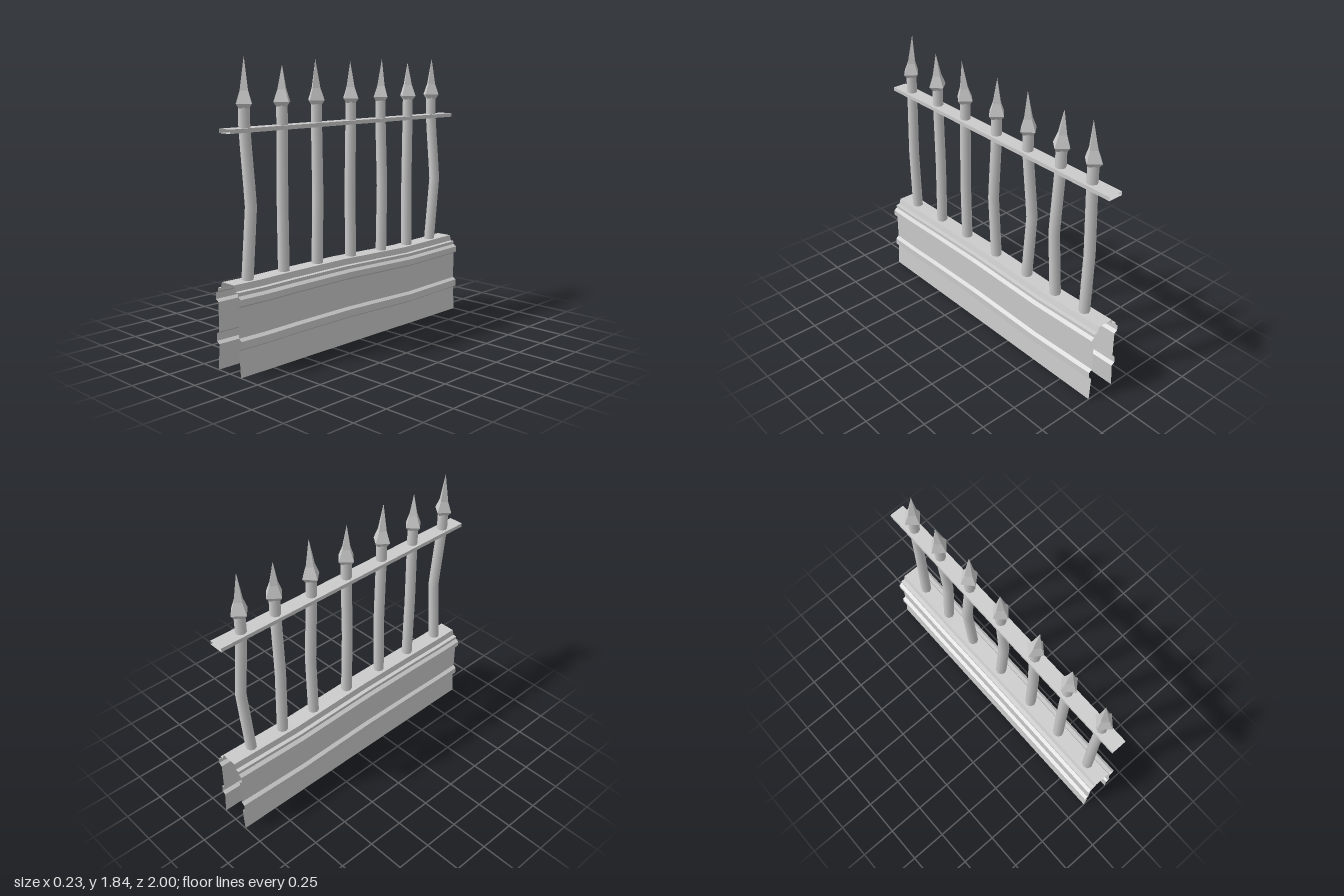
import * as THREE from 'three';

const metal = new THREE.MeshStandardMaterial({ color: 0xcccccc });
const flat = new THREE.MeshStandardMaterial({ color: 0xcccccc, flatShading: true });
const shell = new THREE.MeshStandardMaterial({ color: 0xcccccc, flatShading: true, side: THREE.DoubleSide });

// Skins an open-ended strip: an [x, y] profile (counter-clockwise) swept along the z stations.
function sweep(profile, stations) {
  const pos = [], index = [], n = profile.length;
  for (const [z, sag] of stations)
    for (const [x, y] of profile) pos.push(x, y > 0 ? y + sag : y, z);
  for (let s = 0; s < stations.length - 1; s++)
    for (let i = 0; i < n - 1; i++) {
      const a = s * n + i, b = a + n;
      index.push(a, b, b + 1, a, b + 1, a + 1);
    }
  const g = new THREE.BufferGeometry();
  g.setAttribute('position', new THREE.Float32BufferAttribute(pos, 3));
  g.setIndex(index.reverse());
  g.computeVertexNormals();
  return g;
}

function addMesh(parent, name, geometry, material) {
  const mesh = new THREE.Mesh(geometry, material);
  mesh.name = name;
  parent.add(mesh);
  return mesh;
}

// Round bar whose centre line leans through a bend at mid height.
function barGeometry(bar) {
  const y0 = 0.51, y1 = 1.55;
  const g = new THREE.CylinderGeometry(0.034, 0.036, y1 - y0, 8, 9);
  g.translate(0, (y0 + y1) / 2, 0);
  const p = g.attributes.position;
  const keys = [[0.51, 0, bar.base], [0.98, bar.bendX, bar.mid], [1.42, 0, bar.top], [1.56, 0, bar.top]];
  for (let i = 0; i < p.count; i++) {
    const y = p.getY(i);
    const k = Math.max(1, keys.findIndex(key => y <= key[0]));
    const [ya, xa, za] = keys[k - 1], [yb, xb, zb] = keys[k];
    const t = (y - ya) / (yb - ya);
    p.setX(i, p.getX(i) + xa + (xb - xa) * t);
    p.setZ(i, p.getZ(i) + za + (zb - za) * t);
  }
  return g;
}

// Four-sided spear head with a slightly off-centre point.
function spearGeometry(bar) {
  const rings = [[0, 1.54], [0.042, 1.54], [0.064, 1.567], [0.034, 1.64], [0, bar.height]];
  const g = new THREE.LatheGeometry(rings.map(([r, y]) => new THREE.Vector2(r, y)), 4);
  g.rotateY(bar.turn);
  const p = g.attributes.position;
  for (let i = 0; i < p.count; i++) {
    const t = Math.max(0, (p.getY(i) - 1.567) / (bar.height - 1.567));
    p.setX(i, p.getX(i) + bar.tipX * t);
    p.setZ(i, p.getZ(i) + bar.top + (bar.tipZ - bar.top) * t);
  }
  return g;
}

export function createModel() {
  const fence = new THREE.Group();
  fence.name = 'fence';

  // Hollow plinth with two mouldings per side, gently wavy along its length
  const half = [[0.103, 0], [0.092, 0.16], [0.115, 0.175], [0.115, 0.22], [0.092, 0.235],
    [0.092, 0.415], [0.115, 0.43], [0.115, 0.467], [0.092, 0.482], [0.092, 0.503],
    [0.066, 0.505], [0.055, 0.542]];
  const profile = [...half, ...half.map(([x, y]) => [-x, y]).reverse()];
  const stations = [[-1, 0], [-0.5, -0.012], [0.1, 0.004], [0.55, 0.002], [0.8, -0.002], [1, 0]];
  addMesh(fence, 'plinth', sweep(profile, stations), shell);

  // Flat rail, open at both ends
  const rail = [[0.05, 1.405], [0.05, 1.43], [-0.05, 1.43], [-0.05, 1.405], [0.05, 1.405]];
  addMesh(fence, 'rail', sweep(rail, [[-1, 0], [1, 0]]), shell);

  // Bars: z at base, bend, top and tip, sideways bend, tip height, tip offset, head turn
  const bars = [
    [0.857, 0.838, 0.857, 0.842, 0.024, 1.835, -0.012, 0.1],
    [0.57, 0.57, 0.57, 0.57, -0.005, 1.785, 0.005, -0.06],
    [0.29, 0.288, 0.288, 0.303, 0.008, 1.815, 0.008, 0.15],
    [-0.015, 0.003, -0.015, -0.015, 0.01, 1.8, -0.005, 0.05],
    [-0.31, -0.333, -0.298, -0.298, -0.014, 1.815, 0.01, -0.05],
    [-0.575, -0.555, -0.575, -0.578, 0.012, 1.79, -0.008, 0.1],
    [-0.825, -0.855, -0.825, -0.815, 0.018, 1.815, 0.01, 0.08],
  ];
  for (const [base, mid, top, tipZ, bendX, height, tipX, turn] of bars) {
    const bar = { base, mid, top, tipZ, bendX, height, tipX, turn };
    const post = new THREE.Group();
    post.name = 'post';
    addMesh(post, 'bar', barGeometry(bar), metal);
    addMesh(post, 'spearHead', spearGeometry(bar), flat);
    fence.add(post);
  }
  return fence;
}
